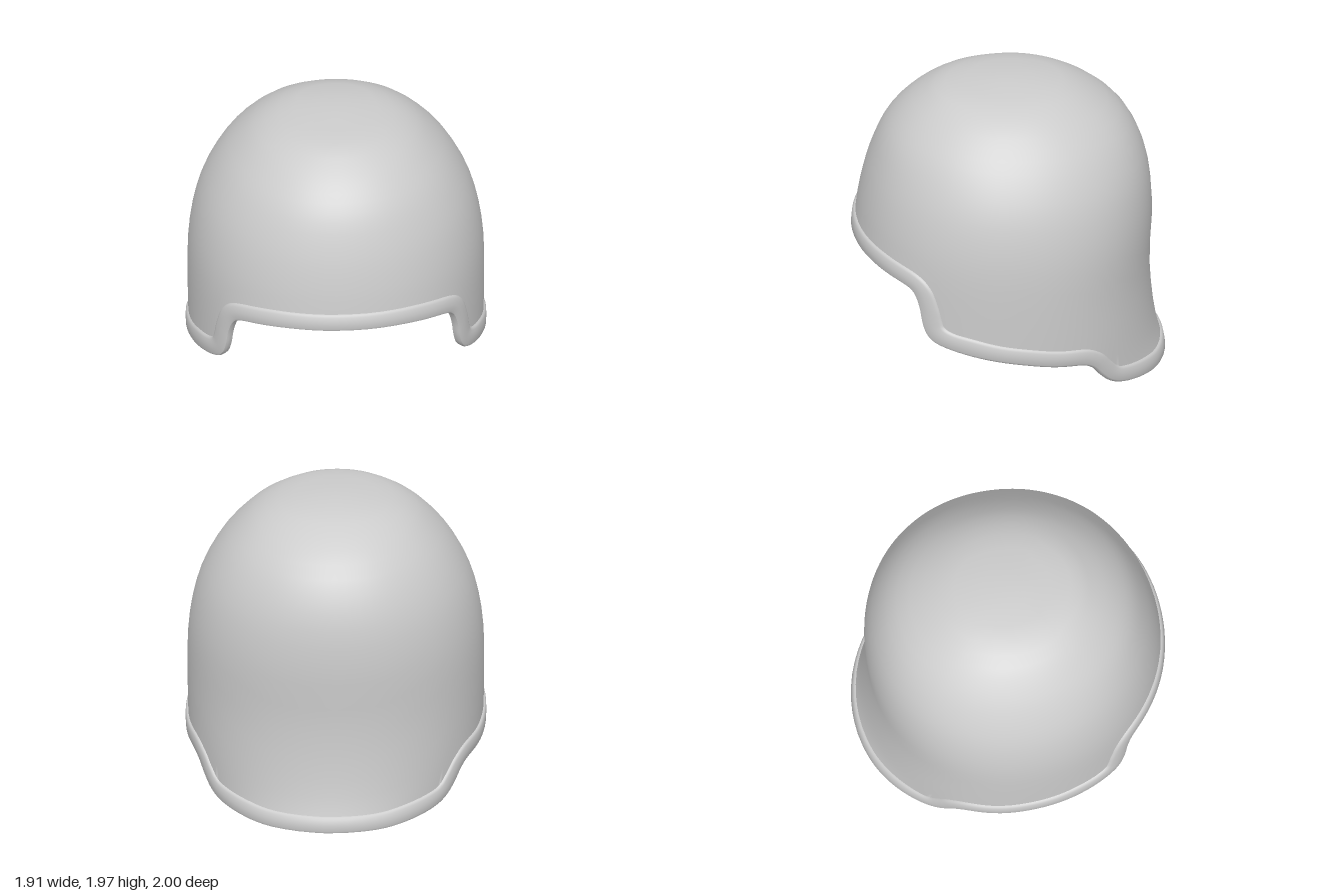
import * as THREE from 'three';
import { toCreasedNormals } from 'three/addons/utils/BufferGeometryUtils.js';

const V = (x, y) => new THREE.Vector2(x, y);

// Wall profile from bottom to crown: height, front, back and side radius
const wall = [
  [0, 1.0, 0.98, 0.88], [0.1, 1.0, 0.97, 0.89], [0.2, 1.0, 0.945, 0.91],
  [0.4, 0.99, 0.915, 0.935], [0.7, 0.985, 0.897, 0.943], [1.0, 0.972, 0.913, 0.94],
  [1.23, 0.935, 0.905, 0.91], [1.43, 0.88, 0.87, 0.85], [1.62, 0.8, 0.79, 0.745],
  [1.76, 0.69, 0.67, 0.625], [1.87, 0.55, 0.5, 0.49], [1.94, 0.39, 0.32, 0.3],
  [1.965, 0, 0, 0],
];
const heightFront = new THREE.SplineCurve(wall.map(w => V(w[0], w[1])));
const backSide = new THREE.SplineCurve(wall.map(w => V(w[2], w[3])));

// Edge curves from front centre to back centre: [z / depth, y] turned into [angle, y]
const edge = pts => new THREE.SplineCurve(pts.map(([c, y]) => V(Math.acos(c), y)));
const rim = edge([
  [1, 0.9], [0.95, 0.895], [0.87, 0.88], [0.76, 0.855], [0.705, 0.82], [0.67, 0.73], [0.65, 0.62],
  [0.62, 0.54], [0.56, 0.49], [0.4, 0.445], [0.2, 0.405], [0, 0.37], [-0.2, 0.335],
  [-0.38, 0.31], [-0.46, 0.27], [-0.52, 0.19], [-0.58, 0.12], [-0.67, 0.075],
  [-0.82, 0.035], [-0.93, 0.01], [-1, 0],
]);
const bandTop = edge([
  [1, 1.01], [0.95, 1.005], [0.85, 0.99], [0.7, 0.95], [0.61, 0.87], [0.56, 0.74], [0.54, 0.66],
  [0.52, 0.61], [0.46, 0.58], [0.34, 0.555], [0.17, 0.515], [-0.03, 0.48], [-0.23, 0.445],
  [-0.43, 0.415], [-0.54, 0.35], [-0.6, 0.27], [-0.65, 0.205], [-0.72, 0.175],
  [-0.85, 0.14], [-0.94, 0.115], [-1, 0.105],
]);

// Profile parameter at a given height
function paramAt(y) {
  let lo = 0, hi = 1;
  for (let k = 0; k < 24; k++) {
    const mid = (lo + hi) / 2;
    if (heightFront.getPoint(mid).y !== undefined && heightFront.getPoint(mid).x < y) lo = mid;
    else hi = mid;
  }
  return lo;
}

// Point on the shell, pushed outwards by a relative offset
function shellPoint(angle, u, offset) {
  const { x: y, y: front } = heightFront.getPoint(u);
  const { x: back, y: side } = backSide.getPoint(u);
  const c = Math.cos(angle), n = 2.08, s = 1 + offset;
  const x = side * s * Math.pow(Math.max(0, 1 - Math.abs(c) ** n), 1 / n);
  const z = c * s * (c > 0 ? front : back);
  return [x, y + offset * Math.max(0, y - 1), z];
}

// Cross-section of the raised rim band: [0 at rim .. 1 at band top, offset]
const band = [
  [1.0, -0.035], [0.96, -0.046], [0.5, -0.048], [0.12, -0.046], [0.02, -0.036],
  [0, -0.015], [0, 0.004], [0.04, 0.016], [0.15, 0.022], [0.5, 0.021], [0.85, 0.018], [0.96, 0.01], [1.0, 0],
];

function shellGeometry(half = 84, domeRows = 20) {
  const cols = half * 2, pos = [], index = [];
  let rows = 0;
  for (let i = 0; i < cols; i++) {
    const t = i <= half ? i / half : 2 - i / half;
    const sign = i <= half ? 1 : -1;
    const low = rim.getPoint(t), high = bandTop.getPoint(t);
    const uHigh = paramAt(high.y);
    const column = [];
    const dome = (k, offset) => shellPoint(high.x, uHigh + (1 - uHigh) * k / domeRows, offset);
    // lining from crown down, around the rim, then outer wall up to the crown
    for (let k = domeRows; k > 0; k--) column.push(dome(k, -0.035));
    for (const [f, offset] of band) {
      const p = low.clone().lerp(high, f);
      column.push(shellPoint(p.x, paramAt(p.y), offset));
    }
    for (let k = 1; k <= domeRows; k++) column.push(dome(k, 0));
    rows = column.length;
    for (const [x, y, z] of column) pos.push(sign * x, y, z);
  }
  for (let i = 0; i < cols; i++) {
    const a = i * rows, b = ((i + 1) % cols) * rows;
    for (let j = 0; j < rows - 1; j++) {
      // one triangle is enough where the columns meet at a crown
      if (j < rows - 2) index.push(a + j, b + j + 1, a + j + 1);
      else index.push(a + j, b + j, a + j + 1);
      if (j > 0 && j < rows - 2) index.push(a + j, b + j, b + j + 1);
    }
  }
  const g = new THREE.BufferGeometry();
  g.setAttribute('position', new THREE.Float32BufferAttribute(pos, 3));
  g.setIndex(index);
  return toCreasedNormals(g, 0.75);
}

export function createModel() {
  const group = new THREE.Group();
  group.name = 'helmet';
  const material = new THREE.MeshStandardMaterial({ color: 0xcccccc });
  const shell = new THREE.Mesh(shellGeometry(), material);
  shell.name = 'helmetShell';
  group.add(shell);
  return group;
}
